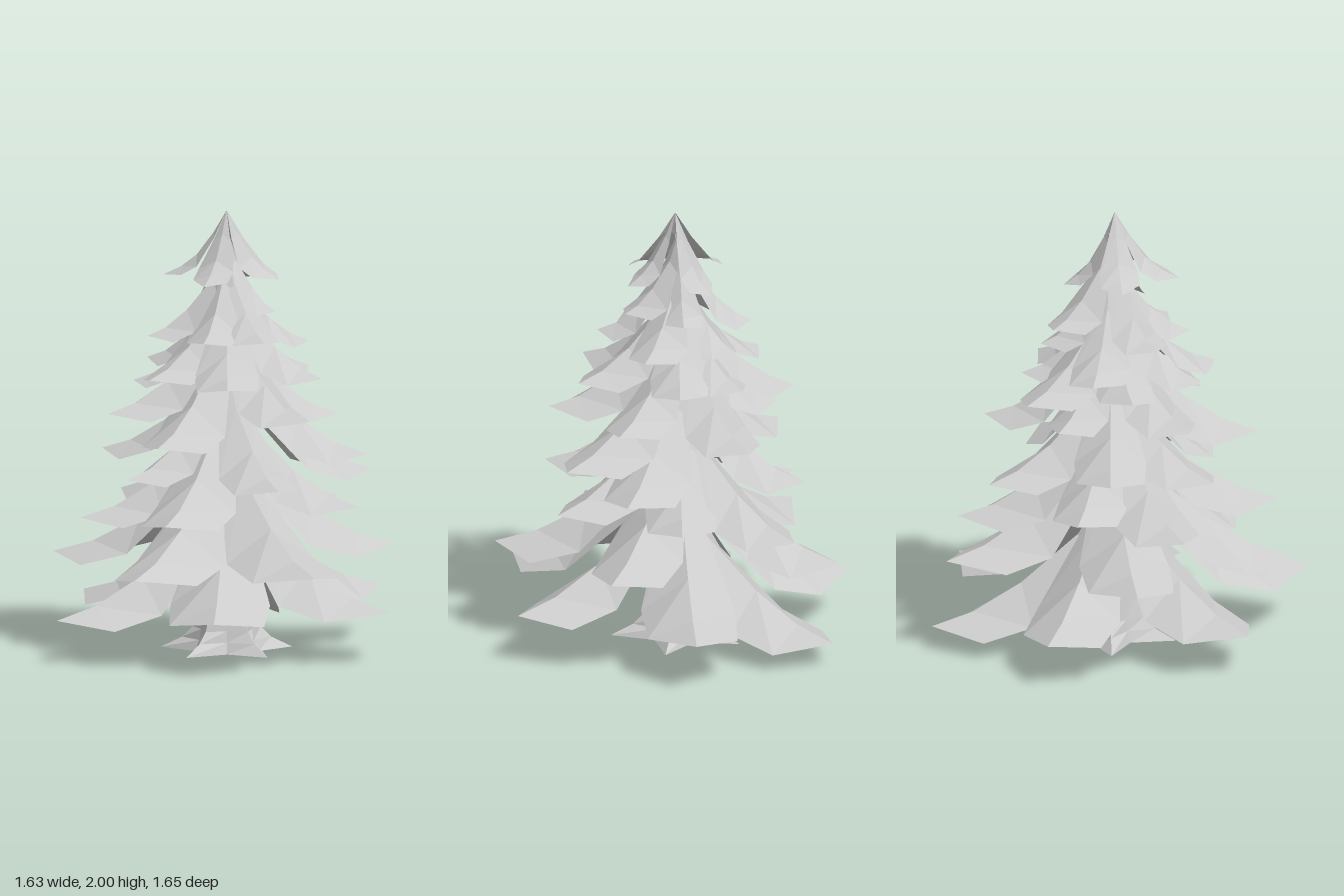
import * as THREE from 'three';

const material = new THREE.MeshStandardMaterial({ color: 0xcccccc, flatShading: true, side: THREE.DoubleSide });

// Branches per tier, lowest first: [compass angle in degrees from +x towards +z, reach, tip height]
const tiers = [
  [[174, 0.82, 0.2], [108, 0.86, 0.19], [49, 0.92, 0.25], [-15, 0.84, 0.23], [-80, 0.84, 0.23], [-131, 0.83, 0.11]],
  [[17, 0.83, 0.43], [75, 0.84, 0.42], [145, 0.79, 0.43], [221, 0.8, 0.45], [309, 0.76, 0.47]],
  [[-19, 0.66, 0.69], [67, 0.75, 0.66], [124, 0.67, 0.62], [169, 0.57, 0.69], [237, 0.69, 0.59], [284, 0.58, 0.66]],
  [[334, 0.67, 0.92], [23, 0.61, 0.8], [306, 0.66, 0.81], [98, 0.56, 0.82], [154, 0.59, 0.89], [217, 0.61, 0.8]],
  [[73, 0.67, 1.0], [252, 0.57, 1.02], [10, 0.59, 1.1], [115, 0.57, 1.1], [185, 0.45, 1.08], [318, 0.5, 1.08]],
  [[45, 0.5, 1.25], [200, 0.52, 1.2], [348, 0.51, 1.27], [285, 0.43, 1.26], [140, 0.42, 1.22], [240, 0.4, 1.25]],
  [[165, 0.41, 1.3], [93, 0.47, 1.27], [310, 0.37, 1.4], [18, 0.37, 1.44], [232, 0.32, 1.4]],
  [[62, 0.36, 1.44], [120, 0.37, 1.44], [205, 0.33, 1.51], [280, 0.22, 1.53], [350, 0.27, 1.56]],
];
const crown = [[147, 0.29, 1.7], [66, 0.29, 1.69], [340, 0.26, 1.7], [241, 0.23, 1.66]];

// Stations from root to shoulder: [fraction of reach, fraction of rise, fraction of half width, slope of the sides]
const branchStations = [[0.02, 1, 0.1, 0.8], [0.18, 0.64, 0.5, 0.8], [0.5, 0.29, 1, 0.72], [0.77, 0.09, 0.95, 0.45]];
const crownStations = [[0, 1, 0, 0.6], [0.2, 0.67, 0.4, 0.6], [0.47, 0.32, 0.85, 0.5], [0.72, 0.13, 0.85, 0.3]];

// A folded, drooping sheet: central ridge, two sloping sides and a pointed tip, running along +x
function branchGeometry(stations, reach, tipY, rise, skew) {
  const width = 0.05 + 0.19 * reach;
  const positions = [];
  const rows = stations.map(([t, h, w, slope]) => {
    const x = t * reach, y = tipY + h * rise, half = w * width;
    const edge = (side) => [x + side * skew * 0.03 * w, y - half * slope, side * half];
    return [edge(-1), [x, y, 0], edge(1)];
  });
  const tip = [reach, tipY, 0];
  const triangle = (a, b, c) => positions.push(...a, ...b, ...c);
  for (let i = 0; i < rows.length; i++) {
    for (let s = 0; s < 2; s++) {
      const a = rows[i][s], b = rows[i][s + 1];
      if (i === rows.length - 1) {
        triangle(a, b, tip);
      } else {
        const c = rows[i + 1][s + 1], d = rows[i + 1][s];
        triangle(a, b, c);
        triangle(a, c, d);
      }
    }
  }
  const geometry = new THREE.BufferGeometry();
  geometry.setAttribute('position', new THREE.Float32BufferAttribute(positions, 3));
  geometry.computeVertexNormals();
  return geometry;
}

function addTier(parent, name, branches, stations, riseOf) {
  const tier = new THREE.Group();
  tier.name = name;
  branches.forEach(([angle, reach, tipY], i) => {
    const skew = Math.sin(i * 2.3 + angle);
    const branch = new THREE.Mesh(branchGeometry(stations, reach, tipY, riseOf(reach, tipY), skew), material);
    branch.name = 'branch';
    branch.rotation.y = -THREE.MathUtils.degToRad(angle);
    tier.add(branch);
  });
  parent.add(tier);
  return tier;
}

// Tapering trunk, open underneath, whose foot spreads into five pointed roots
function trunkGeometry() {
  // Levels from the ground up: [height, radius at the roots, radius between them]
  const profile = [[0, 0.31, 0.15], [0.05, 0.21, 0.13], [0.1, 0.16, 0.12], [0.22, 0.12, 0.1], [0.7, 0.09, 0.08], [1.9, 0.01, 0.01]];
  const geometry = new THREE.CylinderGeometry(1, 1, 1, 10, profile.length - 1, true);
  const p = geometry.attributes.position;
  for (let i = 0; i < p.count; i++) {
    const [y, outer, inner] = profile[Math.round((p.getY(i) + 0.5) * (profile.length - 1))];
    const angle = Math.atan2(p.getX(i), p.getZ(i));
    const radius = Math.cos(angle * 5) > 0 ? outer : inner;
    p.setXYZ(i, p.getX(i) * radius, y, p.getZ(i) * radius);
  }
  geometry.computeVertexNormals();
  return geometry;
}

export function createModel() {
  const tree = new THREE.Group();
  tree.name = 'coniferTree';

  const trunk = new THREE.Mesh(trunkGeometry(), material);
  trunk.name = 'trunk';
  trunk.rotation.y = THREE.MathUtils.degToRad(9);
  tree.add(trunk);

  tiers.forEach((branches, i) => addTier(tree, `branchTier${i + 1}`, branches, branchStations, (reach) => 0.22 + 0.45 * reach));

  // Crown branches all meet at the top point
  const top = addTier(tree, 'crown', crown, crownStations, (reach, tipY) => 2 - tipY);
  top.position.set(0.015, 0, 0.015);
  return tree;
}
